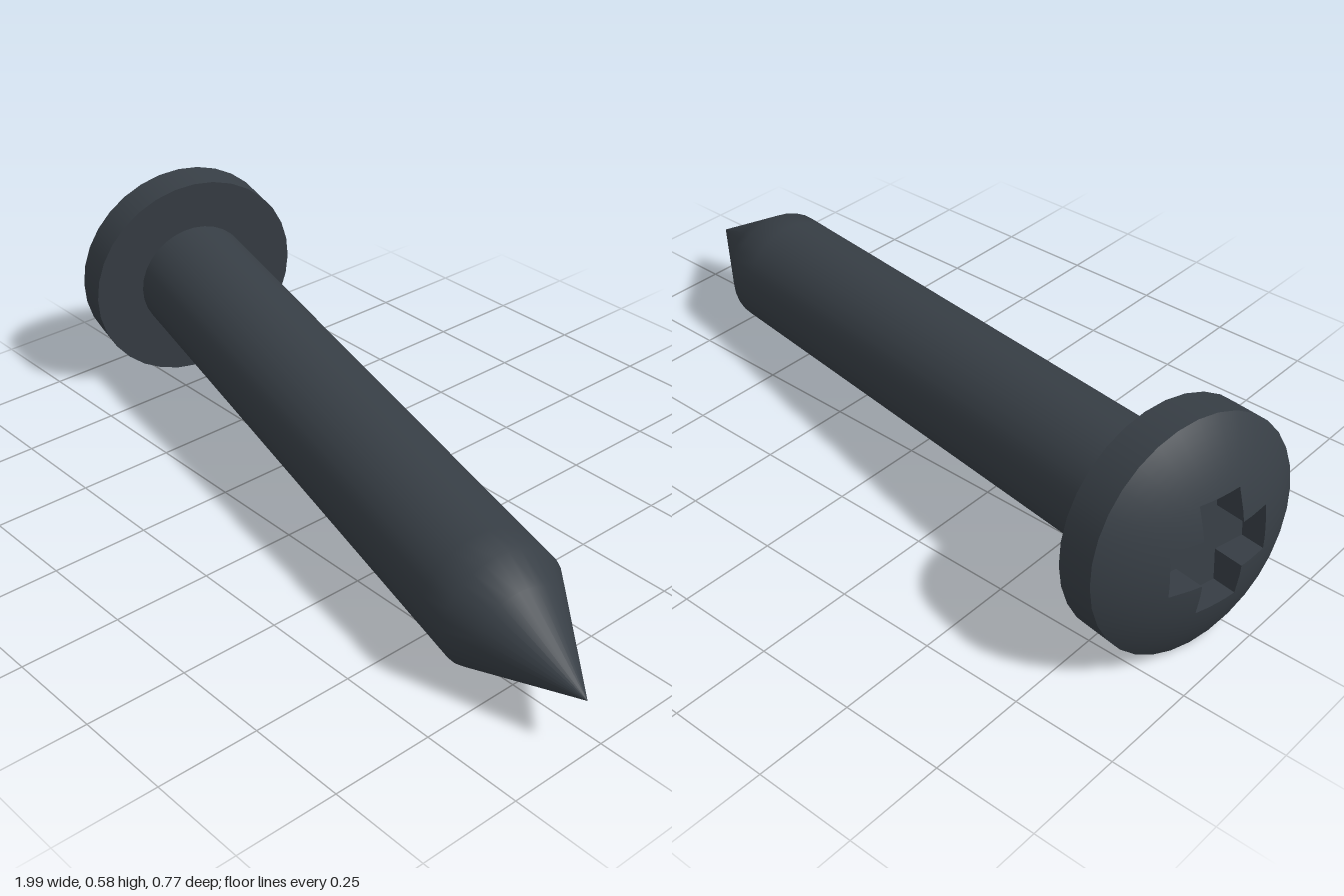
import * as THREE from 'three';

const SEG = 32;
const R = 0.285, RIM = 0.097, DOME = 0.093; // head radius, rim height, dome height
const SHAFT_R = 0.155, SHOULDER = 1.532, LENGTH = 1.842;
const ARM = 0.135, ARM_HALF = ARM * Math.tan(Math.PI / 8), DEPTH = 0.085; // cross recess

const BALL = (R * R + DOME * DOME) / (2 * DOME); // dome sphere radius
const BALL_Y = -RIM - DOME + BALL;
const FLOOR_Y = -RIM - DOME + DEPTH;
const domeY = (r) => BALL_Y - Math.sqrt(BALL * BALL - r * r);

// distance from the axis to the outline of the cross at an angle
function crossRadius(phi) {
  const s = Math.abs(Math.sin(phi)), c = Math.abs(Math.cos(phi));
  const big = Math.max(s, c), small = Math.min(s, c);
  return Math.min(ARM / big, ARM_HALF / Math.max(small, 1e-6));
}

const lathe = (pts) => new THREE.LatheGeometry(pts.map((p) => new THREE.Vector2(...p)), SEG);

// lathe whose profile varies with the angle: rule(t, phi) -> [radius, y]
function variedLathe(rows, rule) {
  const pts = Array.from({ length: rows + 1 }, (_, j) => [1, j]);
  const geo = lathe(pts);
  const pos = geo.attributes.position;
  for (let i = 0; i <= SEG; i++) {
    const phi = (i / SEG) * Math.PI * 2;
    for (let j = 0; j <= rows; j++) {
      const [r, y] = rule(j / rows, phi);
      pos.setXYZ(i * (rows + 1) + j, r * Math.sin(phi), y, r * Math.cos(phi));
    }
  }
  return geo;
}

function flat(geo) {
  const g = geo.toNonIndexed();
  g.computeVertexNormals();
  return g;
}

export function createModel() {
  const model = new THREE.Group();
  model.name = 'screw';
  const steel = new THREE.MeshStandardMaterial({ color: 0x373e45 });
  steel.name = 'dark steel';

  const add = (name, geo) => {
    const mesh = new THREE.Mesh(geo, steel);
    mesh.name = name;
    model.add(mesh);
  };

  // shaft running smoothly into a pointed tip
  add('shaft', lathe([
    [SHAFT_R, 0], [SHAFT_R, SHOULDER - 0.08], [SHAFT_R, SHOULDER],
    [SHAFT_R * 0.75, SHOULDER + (LENGTH - SHOULDER) * 0.25], [0, LENGTH],
  ]));

  // head: rim, flat underside, dome around the recess
  add('headRim', lathe([[R, -RIM], [R, 0]]));
  add('headUnderside', lathe([[R, 0], [SHAFT_R * 0.95, 0]]));

  const dome = variedLathe(8, (t, phi) => {
    const r = THREE.MathUtils.lerp(crossRadius(phi), R, t);
    return [r, domeY(r)];
  });
  const n = new THREE.Vector3();
  for (let i = 0; i < dome.attributes.position.count; i++) {
    n.fromBufferAttribute(dome.attributes.position, i);
    n.y -= BALL_Y;
    n.normalize();
    dome.attributes.normal.setXYZ(i, n.x, n.y, n.z);
  }
  add('headDome', dome);

  // cross-shaped driver recess
  add('recessWalls', flat(variedLathe(1, (t, phi) => {
    const r = crossRadius(phi);
    return [r, THREE.MathUtils.lerp(FLOOR_Y, domeY(r), t)];
  })));
  add('recessFloor', flat(variedLathe(1, (t, phi) => [crossRadius(phi) * t, FLOOR_Y])));

  // lay the screw down so its head rim and shoulder rest on the ground
  const axis = new THREE.Vector3(1, -0.084, 0.214).normalize();
  const up = new THREE.Vector3(0, 1, 0).addScaledVector(axis, -axis.y).normalize();
  const side = new THREE.Vector3().crossVectors(up, axis);
  model.quaternion.setFromRotationMatrix(new THREE.Matrix4().makeBasis(up, axis, side));
  model.position.set(0.993, 0.133, 0.295).addScaledVector(axis, -LENGTH);

  const root = new THREE.Group();
  root.name = 'model';
  root.add(model);
  return root;
}
